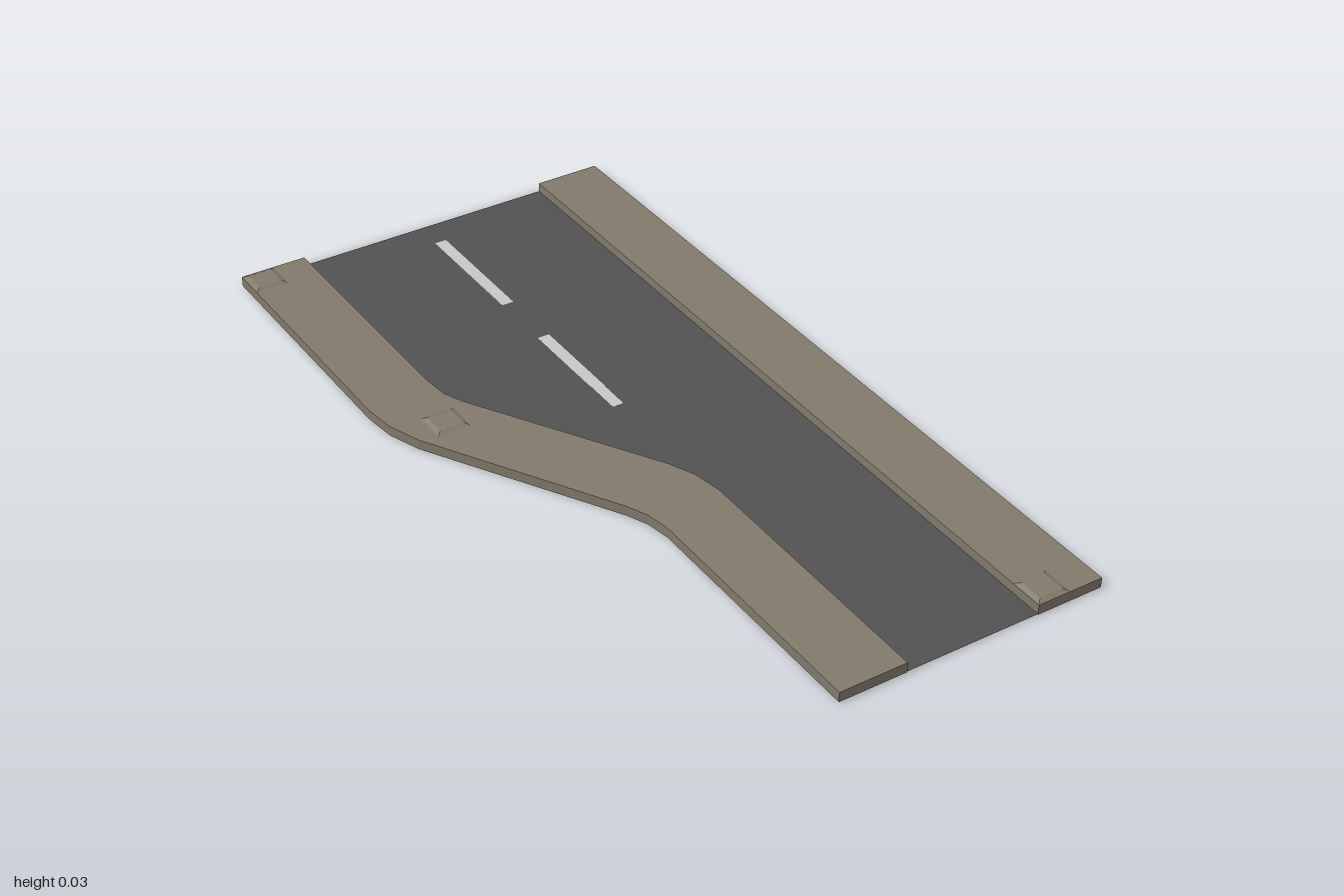
import * as THREE from 'three';
import { mergeGeometries } from 'three/addons/utils/BufferGeometryUtils.js';

const KERB_TOP = 0.025;
const ROAD_Y = 0.002;

// Kerb lines as [x, z], running from the back to the front
const bendOuter = [[-0.5, -1], [-0.5, -0.34], [-0.49, -0.26], [-0.46, -0.18],
  [-0.2, 0.27], [-0.178, 0.32], [-0.167, 0.38], [-0.167, 1]];
const bendInner = [[-0.333, -1], [-0.333, -0.38], [-0.326, -0.31], [-0.305, -0.26],
  [-0.04, 0.19], [-0.012, 0.255], [0, 0.33], [0, 1]];
const straightInner = [[0.333, -1], [0.333, 1]];
const straightOuter = [[0.5, -1], [0.5, 1]];

// Closed outline between a left and a right line
const outline = (left, right) => [...left, ...[...right].reverse()];

// Flat horizontal surface filling an outline at height y
function flat(loop, y) {
  const shape = new THREE.Shape(loop.map(([x, z]) => new THREE.Vector2(x, -z)));
  return new THREE.ShapeGeometry(shape).rotateX(-Math.PI / 2).translate(0, y, 0);
}

// Pavement shell: top and side walls, open underneath
function shell(loop, height) {
  const top = flat(loop, height).toNonIndexed();
  top.deleteAttribute('uv');
  const pos = [];
  loop.forEach(([ax, az], i) => {
    const [bx, bz] = loop[(i + 1) % loop.length];
    pos.push(ax, 0, az, bx, 0, bz, bx, height, bz);
    pos.push(ax, 0, az, bx, height, bz, ax, height, az);
  });
  const walls = new THREE.BufferGeometry();
  walls.setAttribute('position', new THREE.Float32BufferAttribute(pos, 3));
  walls.computeVertexNormals();
  return mergeGeometries([top, walls]);
}

// Low paving stone with sloping sides
function stoneGeometry(size, height, inset) {
  const g = new THREE.BoxGeometry(size, height, size).toNonIndexed();
  const p = g.attributes.position;
  const k = 1 - (2 * inset) / size;
  for (let i = 0; i < p.count; i++) {
    if (p.getY(i) > 0) p.setXYZ(i, p.getX(i) * k, p.getY(i), p.getZ(i) * k);
  }
  g.computeVertexNormals();
  return g;
}

export function createModel() {
  const group = new THREE.Group();
  const material = (name, color) => {
    const m = new THREE.MeshStandardMaterial({ color, side: THREE.DoubleSide });
    m.name = name;
    return m;
  };
  const pavement = material('pavement stone', 0x827b6c);
  const asphalt = material('asphalt', 0x525252);
  const paint = material('road paint', 0xc8c8c8);

  const add = (name, geometry, mat, x = 0, y = 0, z = 0) => {
    const mesh = new THREE.Mesh(geometry, mat);
    mesh.name = name;
    mesh.position.set(x, y, z);
    group.add(mesh);
  };

  // Road surface and the two pavements
  add('road', flat(outline(bendInner, straightInner), ROAD_Y), asphalt);
  add('bentPavement', shell(outline(bendOuter, bendInner), KERB_TOP), pavement);
  add('straightPavement', shell(outline(straightInner, straightOuter), KERB_TOP), pavement);

  // Raised paving stones
  const stone = stoneGeometry(0.083, 0.006, 0.012);
  [[-0.458, -0.958], [-0.376, -0.209], [0.375, 0.958]].forEach(([x, z], i) =>
    add(`pavingStone${i + 1}`, stone, pavement, x, KERB_TOP + 0.0025, z));

  // Dashed centre line
  const dash = new THREE.PlaneGeometry(0.03, 0.333).rotateX(-Math.PI / 2);
  [-0.75, -0.25].forEach((z, i) =>
    add(`laneDash${i + 1}`, dash, paint, 0, ROAD_Y + 0.002, z));

  return group;
}
